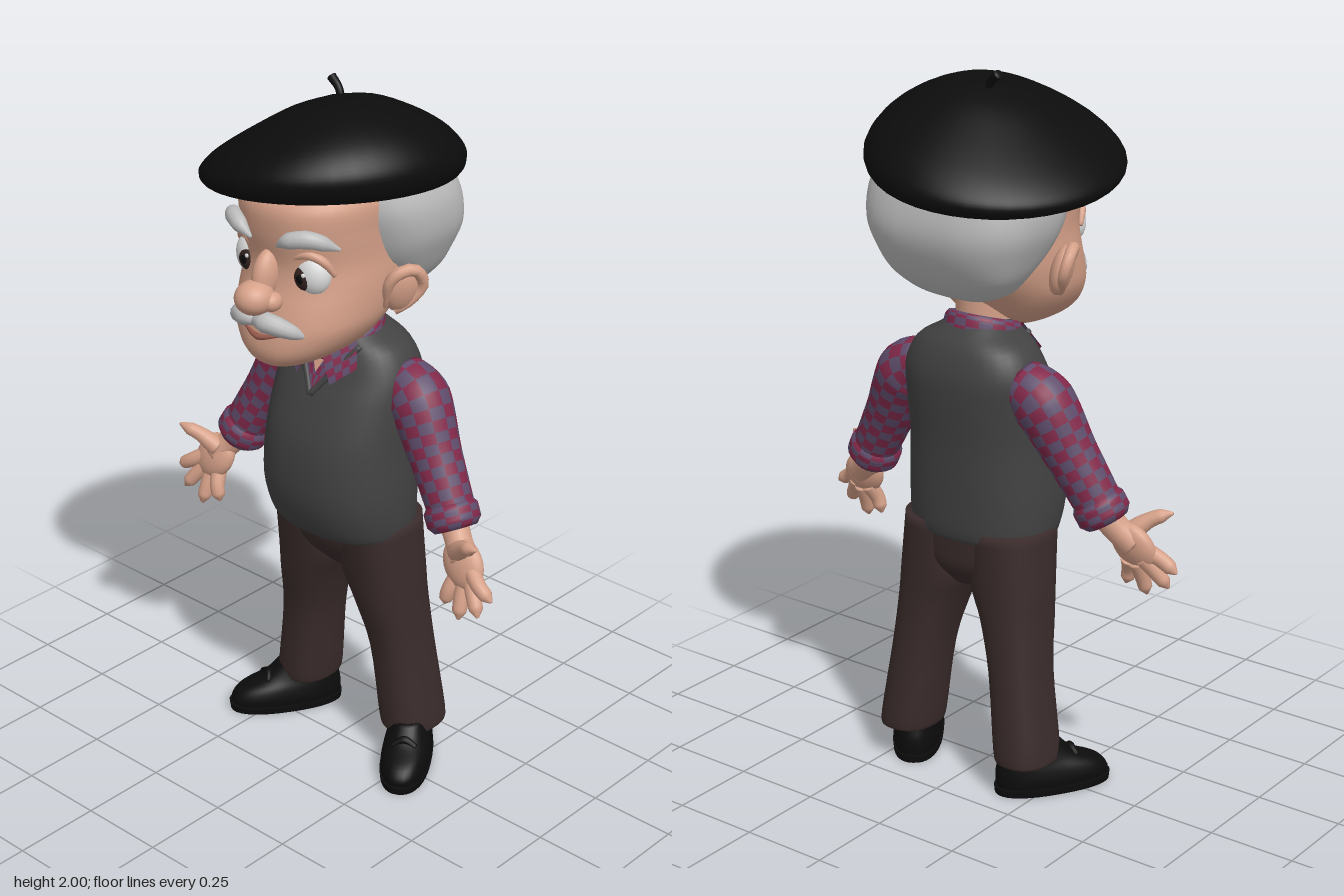
import * as THREE from 'three';

const mat = (name, color, side = THREE.FrontSide) => {
  const m = new THREE.MeshStandardMaterial({ color, side });
  m.name = name;
  return m;
};
const skin = mat('skin', 0xd6a189), hair = mat('silver hair', 0xbcbcbc), black = mat('black felt', 0x0c0c0c);
const vest = mat('charcoal vest', 0x424242), trouser = mat('brown trousers', 0x3a2b2b);
const plaidBase = mat('plaid purple', 0x5f4d6c, THREE.DoubleSide), plaidRed = mat('plaid red', 0x82294a, THREE.DoubleSide);
const white = mat('eye white', 0xdcdcdc), iris = mat('brown iris', 0x33231f), lip = mat('lip', 0x96594c);
const plaid = [plaidBase, plaidRed];
const V = (x, y, z) => new THREE.Vector3(x, y, z);

// Skins a list of closed rings; an array of two materials gives a check pattern
function skinRings(rings, material) {
  const n = rings[0].length, last = rings.length - 1, faces = [[], []];
  const pos = rings.flat();
  const centre = (r) => r.reduce((a, p) => a.add(p), V(0, 0, 0)).divideScalar(n);
  const c0 = pos.push(centre(rings[0])) - 1, c1 = pos.push(centre(rings[last])) - 1;
  for (let j = 0; j < n; j++) {
    const k = (j + 1) % n;
    faces[0].push(c0, j, k, c1, last * n + k, last * n + j);
    for (let i = 0; i < last; i++) {
      const a = i * n + j, b = i * n + k, d = a + n, c = b + n;
      faces[Array.isArray(material) ? ((i >> 1) + (j >> 1)) % 2 : 0].push(a, d, b, b, d, c);
    }
  }
  return finish(pos, faces, material);
}

function finish(pos, faces, material) {
  const g = new THREE.BufferGeometry().setFromPoints(pos);
  g.setIndex(faces.flat());
  g.addGroup(0, faces[0].length, 0);
  if (faces[1].length) g.addGroup(faces[0].length, faces[1].length, 1);
  g.computeVertexNormals();
  return new THREE.Mesh(g, material);
}

// Smooth interpolation of rows [y, halfWidth, zFront, zBack, centreX]
function sample(keys, t) {
  const f = t * (keys.length - 1), i = Math.min(Math.floor(f), keys.length - 2), u = f - i;
  const at = (k) => keys[Math.max(0, Math.min(keys.length - 1, k))];
  return keys[0].map((_, c) => {
    const p0 = at(i - 1)[c], p1 = at(i)[c], p2 = at(i + 1)[c], p3 = at(i + 2)[c];
    return p1 + 0.5 * u * (p2 - p0 + u * (2 * p0 - 5 * p1 + 4 * p2 - p3 + u * (3 * (p1 - p2) + p3 - p0)));
  });
}

// Body form stacked upward from rounded cross-sections
function loft(keys, material, p = 0.85, seg = 36, tilt = 0) {
  const rings = [], steps = (keys.length - 1) * 4, pw = (v) => Math.sign(v) * Math.abs(v) ** p;
  for (let i = 0; i <= steps; i++) {
    const [y, w, zf, zb, cx = 0] = sample(keys, i / steps);
    rings.push(Array.from({ length: seg }, (_, j) => {
      const a = (j / seg) * Math.PI * 2, z = (zf + zb) / 2 + ((zf - zb) / 2) * pw(Math.sin(a));
      return V(cx + w * pw(Math.cos(a)), y - tilt * z, z);
    }));
  }
  return skinRings(rings, material);
}

// Tube with changing radius along a smooth path
function limb(points, radii, material, steps = 16, seg = 12) {
  const curve = new THREE.CatmullRomCurve3(points.map((p) => V(...p)));
  const { normals, binormals } = curve.computeFrenetFrames(steps);
  const rings = [];
  for (let i = 0; i <= steps; i++) {
    const f = (i / steps) * (radii.length - 1), k = Math.min(Math.floor(f), radii.length - 2);
    const r = radii[k] + (radii[k + 1] - radii[k]) * (f - k), c = curve.getPointAt(i / steps);
    rings.push(Array.from({ length: seg }, (_, j) => {
      const a = (j / seg) * Math.PI * 2;
      return c.clone().addScaledVector(normals[i], r * Math.cos(a)).addScaledVector(binormals[i], -r * Math.sin(a));
    }));
  }
  return skinRings(rings, material);
}

// Thin sheet from a function of u and v
function sheet(nu, nv, fn, material) {
  const pos = [], faces = [[], []];
  for (let i = 0; i <= nv; i++) for (let j = 0; j <= nu; j++) pos.push(fn(j / nu, i / nv));
  for (let i = 0; i < nv; i++) for (let j = 0; j < nu; j++) {
    const a = i * (nu + 1) + j, d = a + nu + 1;
    faces[Array.isArray(material) ? (i + j) % 2 : 0].push(a, a + 1, d, a + 1, d + 1, d);
  }
  return finish(pos, faces, material);
}

function ball(c, r, material, rot = [0, 0, 0]) {
  const m = new THREE.Mesh(new THREE.SphereGeometry(1, 24, 16), material);
  m.position.set(...c);
  m.scale.set(...r);
  m.rotation.set(...rot);
  return m;
}

const torso = [[0.715, 0.185, 0.1, -0.155], [0.74, 0.213, 0.135, -0.178], [0.85, 0.222, 0.17, -0.185], [1, 0.215, 0.165, -0.19],
  [1.12, 0.213, 0.125, -0.2], [1.2, 0.208, 0.085, -0.2], [1.27, 0.172, 0.06, -0.18], [1.31, 0.11, 0.05, -0.15], [1.335, 0.08, 0.04, -0.12]];

// Point on the chest surface, raised by a small offset
function chest(x, y, off) {
  let lo = 0, hi = 1;
  for (let i = 0; i < 24; i++) {
    const m = (lo + hi) / 2;
    if (sample(torso, m)[0] < y) lo = m; else hi = m;
  }
  const [, w, zf, zb] = sample(torso, lo), c = Math.min(1, Math.abs(x) / w) ** (1 / 0.85);
  return V(x, y, (zf + zb) / 2 + ((zf - zb) / 2) * Math.sqrt(1 - c * c) ** 0.85 + off);
}

export function createModel() {
  const model = new THREE.Group();
  const add = (name, mesh) => { mesh.name = name; model.add(mesh); return mesh; };

  // Head and hair
  add('head', loft([[1.283, 0.03, 0.25, 0.12], [1.3, 0.09, 0.29, 0.02], [1.34, 0.145, 0.308, -0.05], [1.4, 0.185, 0.302, -0.1],
    [1.46, 0.196, 0.288, -0.15], [1.52, 0.198, 0.27, -0.18], [1.58, 0.195, 0.265, -0.2], [1.66, 0.198, 0.28, -0.2],
    [1.74, 0.2, 0.275, -0.2], [1.8, 0.16, 0.2, -0.15]], skin));
  add('hair', loft([[1.405, 0.08, -0.06, -0.15], [1.43, 0.14, -0.03, -0.2], [1.48, 0.195, -0.02, -0.25], [1.55, 0.235, 0.05, -0.29],
    [1.62, 0.262, 0.085, -0.305], [1.7, 0.265, 0.11, -0.29], [1.77, 0.24, 0.11, -0.26]], hair, 0.72));
  add('neck', loft([[1.22, 0.085, 0.075, -0.1], [1.32, 0.08, 0.065, -0.1], [1.42, 0.085, 0.07, -0.1]], skin, 1));

  // Nose and mouth
  add('noseTip', ball([0, 1.495, 0.32], [0.052, 0.046, 0.055], skin));
  add('noseBridge', ball([0, 1.545, 0.275], [0.032, 0.07, 0.045], skin, [-0.25, 0, 0]));
  add('mouth', limb([[-0.06, 1.395, 0.296], [0, 1.383, 0.311], [0.06, 1.395, 0.296]], [0.003, 0.009, 0.003], lip));

  // Beret, tilted to one side
  const profile = [[0, -0.045], [0.2, -0.05], [0.28, -0.05], [0.325, -0.034], [0.34, 0], [0.325, 0.036], [0.28, 0.08],
    [0.2, 0.13], [0.1, 0.175], [0, 0.19]].map(([r, y]) => new THREE.Vector2(r, y));
  const felt = new THREE.LatheGeometry(new THREE.SplineCurve(profile).getPoints(36).map((p) => p.setX(Math.max(0, p.x))), 40);
  const fp = felt.attributes.position;
  for (let i = 0; i < fp.count; i++) {
    const x = fp.getX(i) * 0.99 - 0.02, z = fp.getZ(i) * 1.075;
    fp.setXYZ(i, x, 1.772 + 0.1 * z + 0.16 * x + fp.getY(i) * (1 + 0.8 * x), z);
  }
  felt.computeVertexNormals();
  add('beret', new THREE.Mesh(felt, black));
  add('beretStem', limb([[-0.01, 1.94, -0.02], [-0.022, 1.968, -0.023], [-0.05, 1.99, -0.027]], [0.011, 0.011, 0.013], black));

  // Vest, shirt front and collar
  add('vest', loft(torso, vest));
  add('shirtFront', sheet(6, 6, (u, v) => chest((u * 2 - 1) * 0.1 * v, 1.15 + 0.14 * v, 0.005), plaid));
  add('throat', sheet(6, 6, (u, v) => chest((u * 2 - 1) * 0.045 * v, 1.205 + 0.085 * v, 0.011), skin));
  add('collarBand', loft([[1.27, 0.112, 0.085, -0.14], [1.31, 0.105, 0.075, -0.13], [1.325, 0.094, 0.068, -0.12]], plaid, 1, 36, 0.3));

  // Hips
  add('hips', loft([[0.585, 0.05, 0.01, -0.13], [0.64, 0.15, 0.06, -0.165], [0.7, 0.19, 0.085, -0.17], [0.78, 0.2, 0.09, -0.17]], trouser));

  for (const s of [1, -1]) {
    const side = s > 0 ? 'left' : 'right';
    const put = (name, mesh) => add(side + name, mesh);
    const m = (pts) => pts.map(([x, y, z]) => [s * x, y, z]);

    // Eyes with lids and brows
    put('Eye', ball([s * 0.108, 1.558, 0.213], [0.05, 0.058, 0.042], white, [0, s * 0.2, 0]));
    put('Iris', ball([s * 0.1, 1.553, 0.237], [0.032, 0.036, 0.022], iris, [0, s * 0.1, 0]));
    put('Pupil', ball([s * 0.099, 1.553, 0.249], [0.016, 0.018, 0.012], black));
    put('Glint', ball([s * 0.1 + 0.012, 1.567, 0.257], [0.006, 0.006, 0.004], white));
    put('UpperLid', limb(m([[0.055, 1.568, 0.245], [0.075, 1.605, 0.246], [0.11, 1.618, 0.237], [0.145, 1.602, 0.216], [0.162, 1.56, 0.19]]),
      [0.006, 0.012, 0.013, 0.012, 0.006], skin));
    put('Eyebrow', limb(m([[0.045, 1.638, 0.283], [0.085, 1.662, 0.282], [0.135, 1.67, 0.255], [0.185, 1.64, 0.195]]),
      [0.004, 0.022, 0.024, 0.02, 0.004], hair));
    put('Moustache', limb(m([[-0.008, 1.43, 0.318], [0.04, 1.435, 0.318], [0.085, 1.42, 0.293], [0.125, 1.395, 0.25]]),
      [0.012, 0.028, 0.026, 0.019, 0.003], hair));
    put('Nostril', ball([s * 0.04, 1.487, 0.296], [0.025, 0.026, 0.03], skin));

    // Ear with raised rim
    put('Ear', ball([s * 0.228, 1.488, 0.012], [0.03, 0.07, 0.05], skin, [0.1, -s * 0.45, -s * 0.2]));
    put('EarRim', limb(m([[0.205, 1.44, 0.045], [0.235, 1.53, 0.05], [0.265, 1.55, 0.005], [0.268, 1.5, -0.032], [0.242, 1.45, -0.01], [0.215, 1.425, 0.02]]),
      [0.006, 0.014, 0.017, 0.016, 0.014, 0.012], skin));

    // Collar flap and neckline trim
    const q = m([[0.06, 1.188, 0.103], [0.125, 1.243, 0.066], [0.018, 1.272, 0.09], [0.085, 1.327, 0.02]]).map((p) => V(...p));
    put('CollarFlap', sheet(4, 5, (u, v) => q[0].clone().lerp(q[1], u).lerp(q[2].clone().lerp(q[3], u), v), plaid));
    put('NecklineTrim', limb([0, 0.25, 0.5, 0.75, 1].map((t) => chest(s * 0.105 * t, 1.147 + 0.143 * t, 0.002).toArray()), [0.009, 0.009], vest));

    // Sleeve and rolled cuff
    put('Sleeve', limb(m([[0.155, 1.185, -0.075], [0.22, 1.15, -0.07], [0.3, 1.02, -0.05], [0.365, 0.91, -0.033], [0.4, 0.85, -0.025]]),
      [0.07, 0.088, 0.08, 0.072, 0.068, 0.064], plaid, 28, 24));
    put('Cuff', limb(m([[0.372, 0.897, -0.03], [0.387, 0.87, -0.026], [0.408, 0.832, -0.02]]), [0.062, 0.075, 0.075, 0.075, 0.06], plaid, 8, 24));

    // Hand with spread fingers
    put('Wrist', limb(m([[0.395, 0.855, -0.022], [0.425, 0.815, -0.008], [0.47, 0.77, 0.015]]), [0.04, 0.038, 0.04], skin));
    put('Palm', ball([s * 0.467, 0.763, 0.018], [0.062, 0.075, 0.032], skin, [-0.25, 0, s * 0.7]));
    put('Thumb', limb(m([[0.45, 0.795, 0.025], [0.495, 0.833, 0.05], [0.53, 0.85, 0.068], [0.553, 0.858, 0.075]]), [0.028, 0.026, 0.021, 0.019, 0.004], skin));
    const fingers = [[0.495, 0.76, 0.588, 0.702, 0.045], [0.495, 0.735, 0.555, 0.648, 0.06], [0.477, 0.72, 0.487, 0.615, 0.058], [0.452, 0.725, 0.427, 0.637, 0.045]];
    fingers.forEach(([x0, y0, x1, y1, z], i) => put('Finger' + (i + 1),
      limb(m([[x0, y0, 0.02], [(x0 + x1) / 2, (y0 + y1) / 2, 0.042], [x1, y1, z]]), [0.024, 0.023, 0.022, 0.021, 0.02, 0.004], skin)));

    // Trouser leg
    put('TrouserLeg', loft([[0.1, 0.076, -0.005, -0.188, 0.203], [0.13, 0.082, 0.003, -0.195, 0.2], [0.35, 0.08, 0.012, -0.178, 0.17],
      [0.5, 0.094, 0.042, -0.17, 0.143], [0.6, 0.111, 0.06, -0.17, 0.121], [0.76, 0.108, 0.09, -0.17, 0.11]].map(([y, w, f, b, x]) => [y, w, f, b, s * x]), trouser));

    // Shoe, turned outward
    const shoe = new THREE.Group();
    const upper = loft([[0.015, 0.066, 0.17, -0.155], [0.04, 0.07, 0.172, -0.158], [0.07, 0.066, 0.145, -0.157], [0.1, 0.058, 0.075, -0.15], [0.14, 0.05, 0.03, -0.14]], black, 0.85);
    const sole = loft([[0, 0.07, 0.177, -0.16], [0.022, 0.072, 0.18, -0.162]], black, 0.85);
    const lace = limb([[-0.035, 0.092, 0.07], [0, 0.108, 0.062], [0.035, 0.092, 0.07]], [0.008, 0.012, 0.008], black);
    upper.name = 'shoeUpper'; sole.name = 'shoeSole'; lace.name = 'shoeLace';
    shoe.add(upper, sole, lace);
    shoe.position.set(s * 0.235, 0, -0.035);
    shoe.rotation.y = s * 0.57;
    put('Shoe', shoe);
  }
  return model;
}
